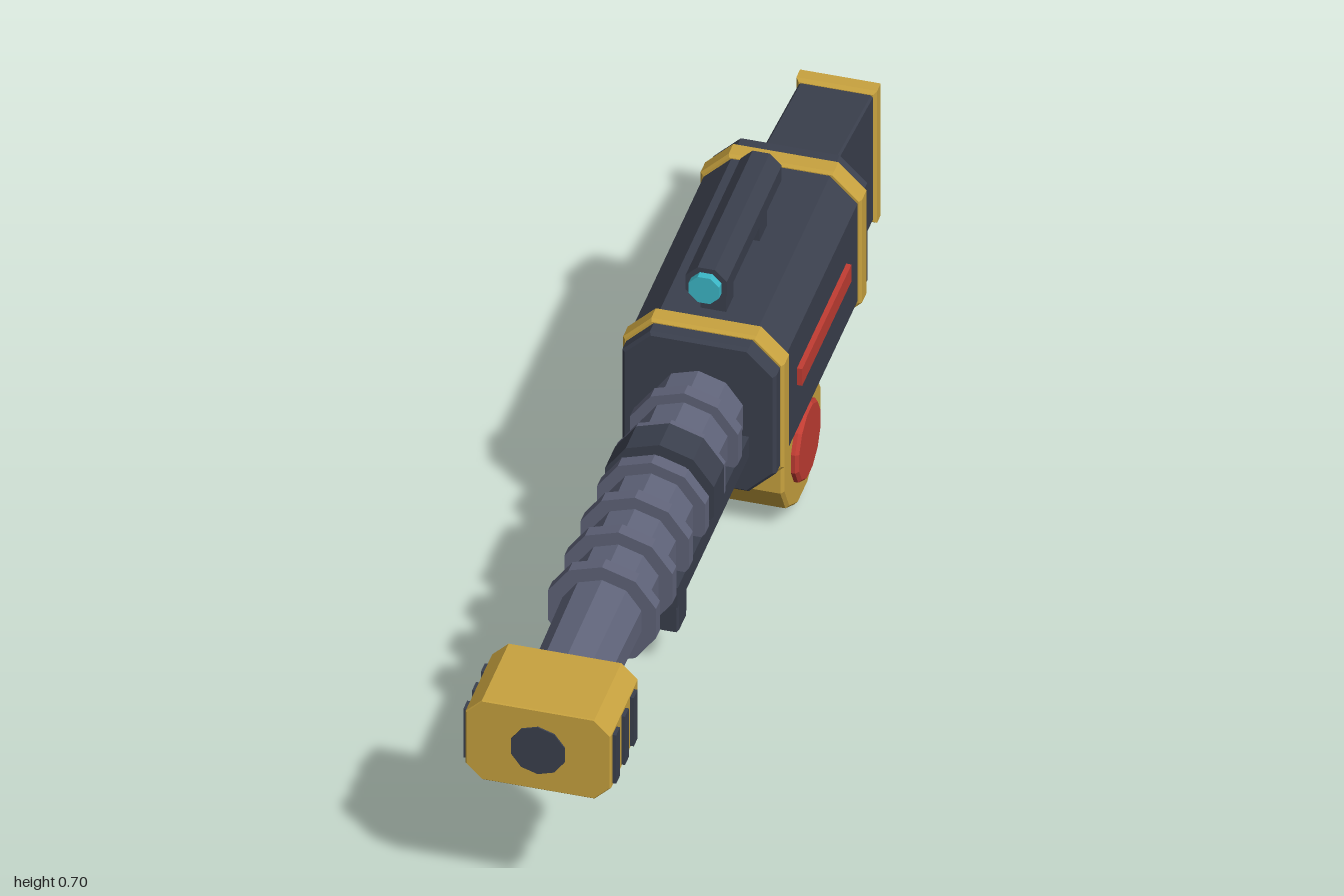
import * as THREE from 'three';

const paint = (name, color) => {
  const m = new THREE.MeshStandardMaterial({ color });
  m.name = name;
  return m;
};

// Faceted normals for every part
const facet = (geo) => {
  const g = geo.index ? geo.toNonIndexed() : geo;
  g.computeVertexNormals();
  return g;
};

// Extrude a closed outline centred on depth 0, bevelled inside its given size
function slab(points, depth, bevel = 0.006) {
  const shape = new THREE.Shape(points.map(([a, b]) => new THREE.Vector2(a, b)));
  return new THREE.ExtrudeGeometry(shape, {
    depth: depth - 2 * bevel, bevelEnabled: bevel > 0, bevelSize: bevel,
    bevelThickness: bevel, bevelOffset: -bevel, bevelSegments: 1,
  }).translate(0, 0, -depth / 2 + bevel);
}

// Side profile given as [z, y], extruded across x
const profile = (points, width, bevel) => slab(points, width, bevel).rotateY(-Math.PI / 2);

// Box with chamfered long edges, running along z
function chamferBox(hw, y0, y1, c, z0, z1, bevel) {
  const pts = [
    [hw - c, y0], [hw, y0 + c], [hw, y1 - c], [hw - c, y1],
    [c - hw, y1], [-hw, y1 - c], [-hw, y0 + c], [c - hw, y0],
  ];
  return slab(pts, z1 - z0, bevel).translate(0, 0, (z0 + z1) / 2);
}

// Faceted rod along z, from z0 (radius r0) to z1 (radius r1)
const rod = (r0, r1, z0, z1, y, sides, turn = 0) =>
  new THREE.CylinderGeometry(r1, r0, z1 - z0, sides).rotateY(turn)
    .rotateX(Math.PI / 2).translate(0, y, (z0 + z1) / 2);

const box = (w, h, d, x, y, z) => new THREE.BoxGeometry(w, h, d).translate(x, y, z);

export function createModel() {
  const dark = paint('dark gunmetal', 0x3b404e);
  const steel = paint('grey steel', 0x60647a);
  const gold = paint('gold', 0xc9a33f);
  const red = paint('red', 0xc23d33);
  const cyan = paint('cyan lens', 0x3cb9c9);
  const group = new THREE.Group();
  const add = (name, geo, mat) => {
    const mesh = new THREE.Mesh(facet(geo), mat);
    mesh.name = name;
    group.add(mesh);
  };

  // Receiver with two gold bands
  add('receiver', chamferBox(0.145, 0.244, 0.57, 0.052, -0.67, -0.06, 0.006), dark);
  for (const z of [-0.11, -0.62]) {
    add('receiverBand', chamferBox(0.152, 0.237, 0.577, 0.053, z - 0.02, z + 0.02, 0.005), gold);
  }

  // Stock and butt pad
  add('stock', profile([
    [-0.66, 0.515], [-0.97, 0.48], [-0.97, 0.195], [-0.865, 0.195], [-0.745, 0.305], [-0.66, 0.305],
  ], 0.14, 0.004), dark);
  add('buttPad', slab([[-0.076, 0.188], [0.076, 0.188], [0.076, 0.488], [-0.076, 0.488]], 0.036, 0.006)
    .translate(0, 0, -0.982), gold);

  // Barrel with cooling rings
  const axisY = 0.415;
  add('barrel', rod(0.088, 0.074, -0.07, 0.83, axisY, 10), steel);
  for (let i = 0; i < 6; i++) {
    const z = 0.023 + i * 0.108;
    add('barrelRing', rod(0.107, 0.107, z - 0.013, z + 0.013, axisY, 10), steel);
  }

  // Handguard, clamp and foregrip
  add('handguard', box(0.19, 0.045, 0.475, 0, 0.35, 0.1725), dark);
  add('gripClamp', rod(0.108, 0.108, 0.13, 0.198, axisY, 10), dark);
  add('foregrip', profile([[0.2, 0.34], [0.13, 0.34], [0.14, 0.1], [0.194, 0.1]], 0.07, 0.004), dark);

  // Muzzle block, bore and side vents
  add('muzzle', chamferBox(0.137, 0.325, 0.505, 0.031, 0.818, 0.997, 0.002), gold);
  add('bore', rod(0.053, 0.053, 0.99, 1, axisY, 10), dark);
  for (const side of [-1, 1]) {
    for (const z of [0.857, 0.915, 0.973]) {
      add('muzzleVent', box(0.014, 0.11, 0.026, side * 0.137, axisY, z), dark);
    }
    add('sideStripe', box(0.016, 0.038, 0.325, side * 0.147, 0.417, -0.363), red);
  }

  // Scope on two posts
  const scopeY = 0.66, turn = Math.PI / 8;
  add('scopeTube', rod(0.042, 0.042, -0.472, -0.11, scopeY, 8, turn), dark);
  add('scopeLens', rod(0.031, 0.031, -0.12, -0.095, scopeY, 8, turn), cyan);
  for (const z of [-0.182, -0.402]) {
    add('scopePost', box(0.048, 0.09, 0.048, 0, 0.595, z), dark);
  }

  // Drum magazine with red end caps
  const drum = (r, w, x, bevel) => {
    const pts = Array.from({ length: 12 }, (_, i) => {
      const a = (i + 0.5) * Math.PI / 6;
      return [r * Math.cos(a), r * Math.sin(a)];
    });
    return profile(pts, w, bevel).translate(x, 0.147, -0.363);
  };
  add('drumMagazine', drum(0.129, 0.218, 0, 0.006), gold);
  for (const side of [-1, 1]) add('drumCap', drum(0.079, 0.026, side * 0.11, 0.006), red);

  // Rear grip
  add('rearGrip', profile([[-0.43, 0.26], [-0.527, 0.26], [-0.59, 0.017], [-0.495, 0]], 0.1, 0.006), dark);

  return group;
}
